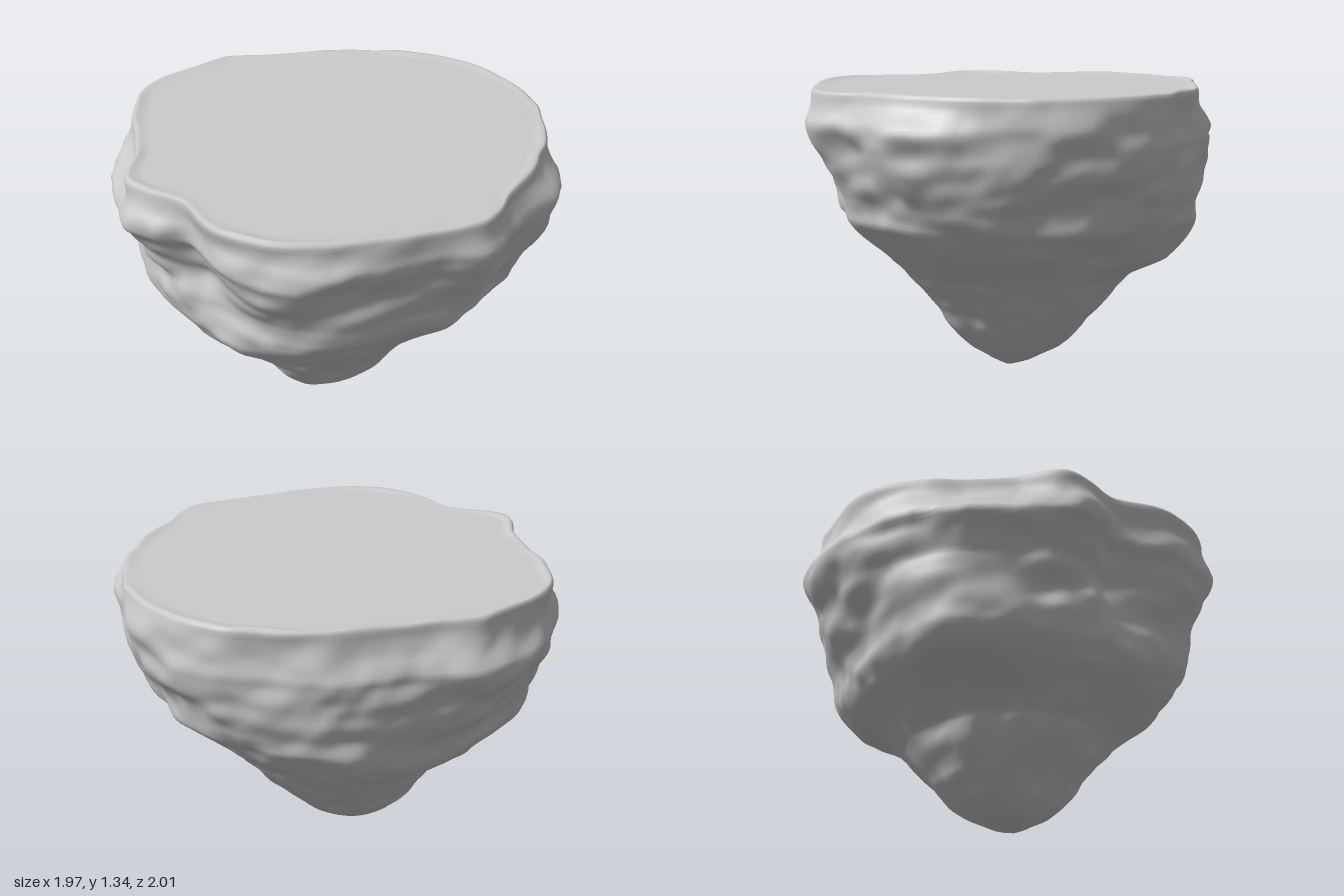
import * as THREE from 'three';

const SEGMENTS = 160, WALL_ROWS = 80, TOP = 1.325;

// Widest outline and top rim outline, as matching [x, z] points
const WIDE = [[-.1, -1], [.13, -.97], [.3, -.86], [.5, -.73], [.66, -.6], [.81, -.42], [.94, -.21], [.98, .05], [.94, .3],
  [.83, .52], [.7, .72], [.5, .89], [.25, .92], [.1, .98], [-.03, 1], [-.2, .92], [-.5, .8], [-.78, .62], [-.87, .38],
  [-.85, .1], [-.94, -.03], [-.99, -.2], [-.87, -.4], [-.74, -.6], [-.56, -.78], [-.33, -.93]];
const RIM = [[-.1, -.92], [.1, -.9], [.24, -.8], [.45, -.68], [.63, -.56], [.8, -.38], [.93, -.17], [.97, .06], [.93, .3],
  [.82, .51], [.67, .67], [.46, .81], [.23, .88], [.1, .96], [0, .98], [-.2, .91], [-.5, .78], [-.76, .6], [-.87, .37],
  [-.84, .1], [-.9, -.06], [-.94, -.21], [-.79, -.36], [-.67, -.54], [-.52, -.76], [-.31, -.91]];

// Extents of the rock by height: y, xMin, xMax, zMin, zMax
const EXTENTS = [
  [0, -.1, -.06, -.02, .02], [.03, -.19, .03, -.1, .08], [.1, -.27, .16, -.23, .19], [.2, -.35, .28, -.34, .29],
  [.3, -.44, .37, -.4, .36], [.4, -.49, .44, -.46, .44], [.48, -.6, .52, -.55, .52], [.56, -.71, .64, -.69, .61],
  [.65, -.77, .74, -.75, .72], [.75, -.8, .84, -.79, .81], [.85, -.81, .87, -.85, .85], [.95, -.84, .91, -.89, .9],
  [1.05, -.92, .95, -.96, .95], [1.12, -.98, .97, -.99, .98], [1.2, -.97, .98, -.95, 1], [1.28, -.94, .98, -.92, .99],
  [1.31, -.93, .97, -.92, .97]];

const curve = pts => new THREE.CatmullRomCurve3(pts.map(([x, z]) => new THREE.Vector3(x, 0, z)), true);
const { lerp, smoothstep } = THREE.MathUtils;

function extentsAt(y) {
  let i = 0;
  while (i < EXTENTS.length - 2 && EXTENTS[i + 1][0] < y) i++;
  const a = EXTENTS[i], b = EXTENTS[i + 1];
  const t = Math.min(1, (y - a[0]) / (b[0] - a[0]));
  return a.map((v, k) => lerp(v, b[k], t));
}

// Smooth seeded value noise in the range -1 to 1
function hash(x, y, z) {
  let h = Math.imul(x, 374761393) ^ Math.imul(y, 668265263) ^ Math.imul(z, 1274126177);
  h = Math.imul(h ^ (h >>> 13), 1103515245);
  return ((h ^ (h >>> 16)) >>> 0) / 2147483648 - 1;
}
function noise(x, y, z) {
  const ix = Math.floor(x), iy = Math.floor(y), iz = Math.floor(z);
  const fx = smoothstep(x - ix, 0, 1), fy = smoothstep(y - iy, 0, 1), fz = smoothstep(z - iz, 0, 1);
  const line = (b, c) => lerp(hash(ix, b, c), hash(ix + 1, b, c), fx);
  const plane = c => lerp(line(iy, c), line(iy + 1, c), fy);
  return lerp(plane(iz), plane(iz + 1), fz);
}

// Broad lumps, flat-lying ledges (fading on the tip) and fine chips
const roughness = (x, y, z) => .026 * noise(x * 4, y * 5, z * 4)
  + .018 * noise(x * 5 + 9, y * 11, z * 5) * smoothstep(y, .3, .7)
  + .011 * noise(x * 12, y * 13, z * 12);

// Shoulders that fill out the four diagonal corners
function shoulder(u, v, y) {
  const band = smoothstep(y, .44, .62) * (1 - smoothstep(y, .9, 1.2));
  const amount = u < 0 ? (v < 0 ? .1 : .035) : (v < 0 ? .035 : .015);
  return amount * band * (2 * u * v) ** 2;
}

function createRockGeometry() {
  const wide = curve(WIDE), rim = curve(RIM);
  const positions = [], indices = [];

  // Wall point: circular near the tip, then the wide outline, then the rim
  function wallPoint(t, y) {
    const w = wide.getPoint(t), r = rim.getPoint(t);
    const [, x0, x1, z0, z1] = extentsAt(y);
    const toWide = smoothstep(y, .6, 1.1), toRim = smoothstep(y, 1.16, 1.31);
    const len = Math.hypot(w.x, w.z), dx = w.x / len, dz = w.z / len;
    const u = lerp(dx, w.x / .98, toWide), v = lerp(dz, w.z, toWide);
    const x = lerp((x0 + x1) / 2 + u * (x1 - x0) / 2, r.x, toRim);
    const z = lerp((z0 + z1) / 2 + v * (z1 - z0) / 2, r.z, toRim);
    const n = roughness(x, y, z) * smoothstep(y, 0, .2) * lerp(1, .5, toRim) + shoulder(dx, dz, y);
    return [x + n * dx, z + n * dz];
  }

  const rows = [];
  for (let i = 0; i <= WALL_ROWS; i++) rows.push({ y: 1.31 * Math.pow(i / WALL_ROWS, 1.1), scale: 1 });
  // Rounded lip and flat top
  for (const [scale, y] of [[.996, 1.324], [.986, 1.331], [.968, 1.329], [.945, TOP], [.92, TOP], [.6, TOP], [.3, TOP], [0, TOP]])
    rows.push({ y, scale });

  rows.forEach(({ y, scale }, i) => {
    for (let j = 0; j < SEGMENTS; j++) {
      const [x, z] = wallPoint(j / SEGMENTS, Math.min(y, 1.31));
      const lip = y > TOP ? .006 * noise(x * 6, 3, z * 6) : 0;
      positions.push(x * scale, y + lip, z * scale);
      if (i === rows.length - 1) continue;
      const k = (j + 1) % SEGMENTS, a = i * SEGMENTS, b = a + SEGMENTS;
      indices.push(a + j, b + j, a + k, a + k, b + j, b + k);
    }
  });

  // Close the tip
  const tip = positions.length / 3;
  positions.push(-.08, 0, 0);
  for (let j = 0; j < SEGMENTS; j++) indices.push(tip, j, (j + 1) % SEGMENTS);

  const geometry = new THREE.BufferGeometry();
  geometry.setAttribute('position', new THREE.Float32BufferAttribute(positions, 3));
  geometry.setIndex(indices);
  geometry.computeVertexNormals();
  return geometry;
}

export function createModel() {
  const group = new THREE.Group();
  group.name = 'floatingIsland';
  const rock = new THREE.Mesh(createRockGeometry(), new THREE.MeshStandardMaterial({ color: 0xcccccc }));
  rock.name = 'rock';
  group.add(rock);
  return group;
}
